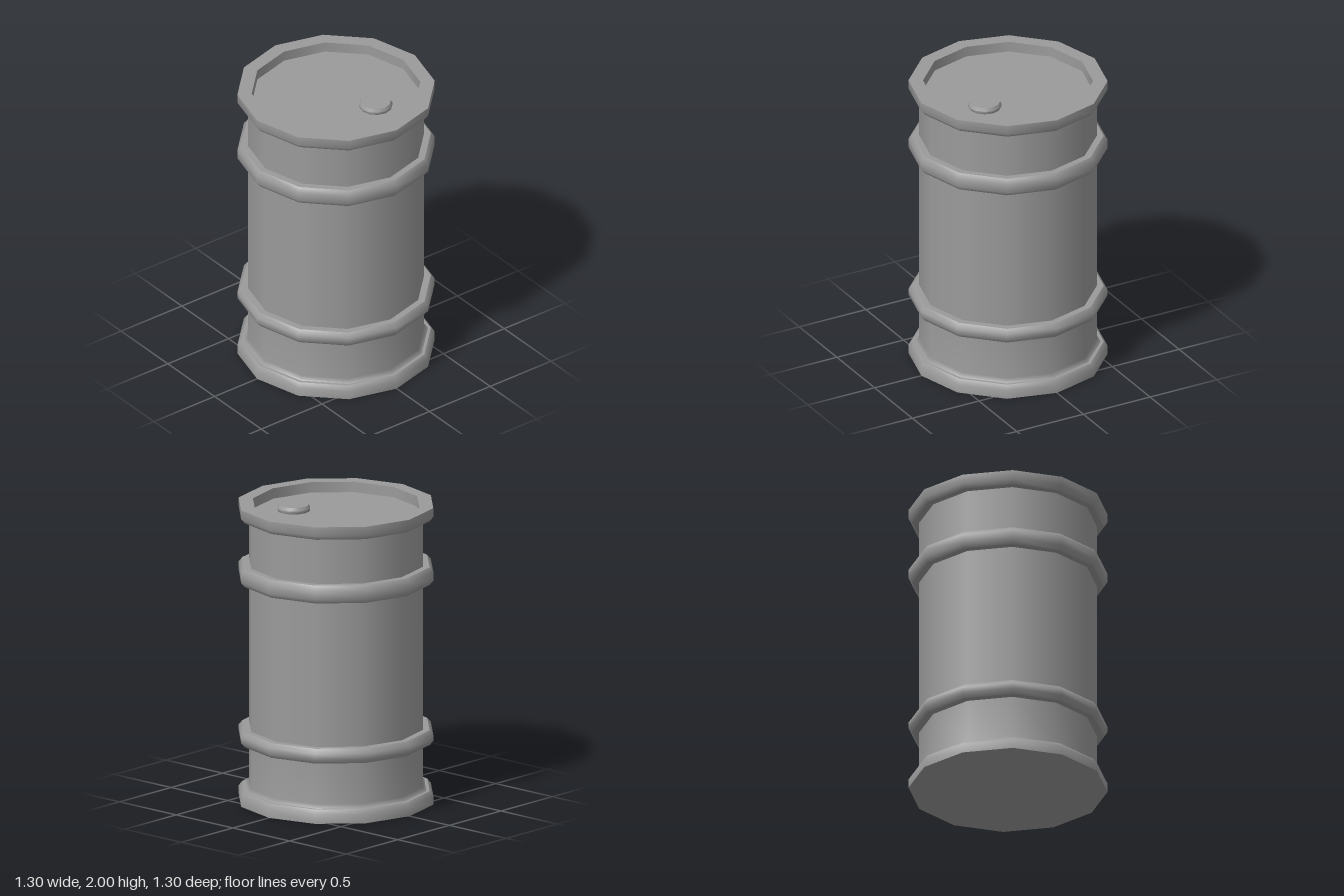
import * as THREE from 'three';
import { mergeGeometries } from 'three/addons/utils/BufferGeometryUtils.js';

const SIDES = 12;

export function createModel() {
  const drum = new THREE.Group();
  drum.name = 'drum';
  const material = new THREE.MeshStandardMaterial({ color: 0x9b9b9b });

  // Turned part from runs of [radius, height] pairs: smooth within a run, sharp between runs
  const turn = (name, ...runs) => {
    const lathes = runs.map((run) =>
      new THREE.LatheGeometry(run.map(([r, y]) => new THREE.Vector2(r, y)), SIDES));
    const mesh = new THREE.Mesh(mergeGeometries(lathes), material);
    mesh.name = name;
    drum.add(mesh);
    return mesh;
  };

  // Base with a bevelled edge and a narrow ledge
  turn('base',
    [[0, 0], [0.65, 0]],
    [[0.65, 0], [0.65, 0.06], [0.625, 0.09]],
    [[0.625, 0.09], [0.605, 0.09]]);

  // Softly shaded flare below the lower hoop, then the straight wall
  turn('lowerWall', [[0.605, 0.09], [0.58, 0.115], [0.58, 0.41]]);
  turn('wall', [[0.58, 0.41], [0.58, 1.92]]);

  // Two bevelled hoops
  for (const [name, bottom, top] of [['lowerHoop', 0.4, 0.5], ['upperHoop', 1.48, 1.6]]) {
    turn(name,
      [[0.58, bottom], [0.625, bottom]],
      [[0.625, bottom], [0.65, bottom + 0.03], [0.65, top - 0.03], [0.625, top]],
      [[0.625, top], [0.58, top]]);
  }

  // Raised rim around the sunken lid
  turn('rimAndLid',
    [[0.58, 1.91], [0.625, 1.91]],
    [[0.625, 1.91], [0.65, 1.94], [0.65, 2]],
    [[0.65, 2], [0.555, 2]],
    [[0.555, 2], [0.555, 1.93]],
    [[0.555, 1.93], [0, 1.93]]);

  // Filler cap, off centre on the lid
  const cap = turn('fillerCap',
    [[0.105, 1.93], [0.11, 1.94], [0.11, 1.95]],
    [[0.11, 1.95], [0.1, 1.972]],
    [[0.1, 1.972], [0, 1.972]]);
  cap.position.set(0.135, 0, 0.25);

  return drum;
}
